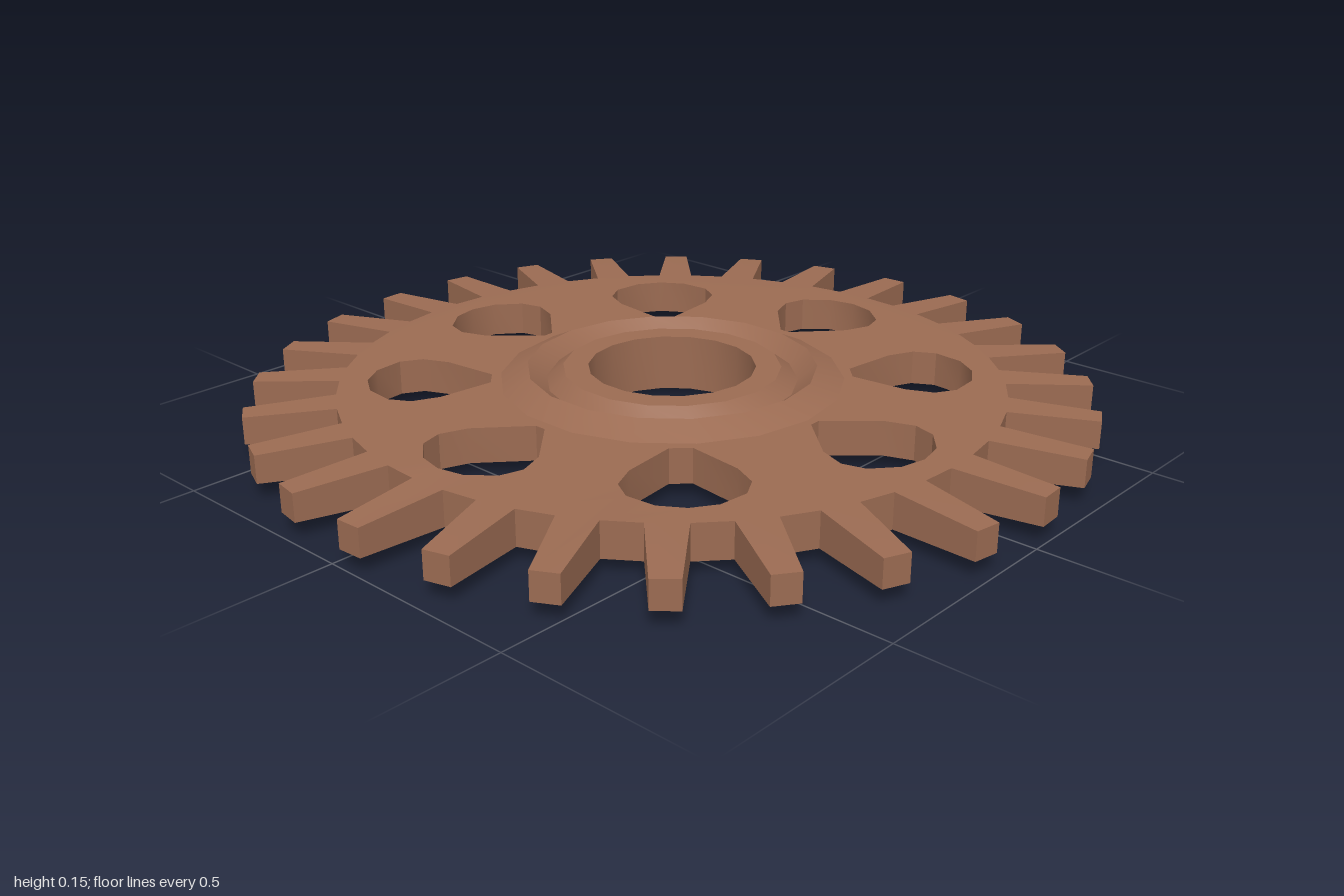
import * as THREE from 'three';
import { toCreasedNormals } from 'three/addons/utils/BufferGeometryUtils.js';

const TEETH = 28, HOLES = 8, SIDES = 18, HUB_EDGE = 0.41, MID = 0.073;

// Point at radial distance r and sideways offset t along direction a
const polar = (a, r, t = 0) => new THREE.Vector2(
  r * Math.cos(a) - t * Math.sin(a), r * Math.sin(a) + t * Math.cos(a));

// Half thickness of the plate, tapering towards the tooth tips
const halfThickness = (r) => r < 0.8 ? 0.042 : THREE.MathUtils.lerp(0.042, 0.033, (r - 0.8) / 0.2);

function plateGeometry() {
  // Toothed outline
  const outline = [];
  for (let i = 0; i < TEETH; i++) {
    const a = (i + 0.25) * Math.PI * 2 / TEETH;
    outline.push(polar(a, 0.787, -0.045), polar(a, 0.997, -0.031),
      polar(a, 0.997, 0.031), polar(a, 0.787, 0.045));
  }
  const shape = new THREE.Shape(outline);

  // Teardrop windows, narrow end towards the hub
  for (let i = 0; i < HOLES; i++) {
    const a = i * Math.PI * 2 / HOLES;
    const tip = i % 2 ? 0.026 : 0.014;
    const side = [[0.43, tip], [0.54, 0.113], [0.605, 0.137], [0.66, 0.122], [0.708, 0.065]];
    const drop = [
      ...side.map(([r, t]) => polar(a, r, t)),
      polar(a, 0.722),
      ...side.slice().reverse().map(([r, t]) => polar(a, r, -t)),
    ];
    shape.holes.push(new THREE.Path(drop));
  }

  // Opening that meets the hub flange
  const opening = [];
  for (let i = 0; i < SIDES; i++) opening.push(polar(Math.PI / 2 + i * Math.PI * 2 / SIDES, HUB_EDGE));
  shape.holes.push(new THREE.Path(opening));

  const geo = new THREE.ExtrudeGeometry(shape, { depth: 1, bevelEnabled: false });
  geo.rotateX(-Math.PI / 2);
  const p = geo.attributes.position;
  for (let i = 0; i < p.count; i++) {
    const h = halfThickness(Math.hypot(p.getX(i), p.getZ(i)));
    p.setY(i, MID + (p.getY(i) > 0.5 ? h : -h));
  }
  return toCreasedNormals(geo, 0.6);
}

function hubGeometry() {
  // Upper half: flange, ridge, groove, collar, bore; mirrored for the underside
  const upper = [[HUB_EDGE, 0.042], [0.345, 0.073], [0.3, 0.038], [0.26, 0.069], [0.2, 0.069]];
  const lower = upper.slice().reverse().map(([r, y]) => [r, -y]);
  const profile = [...upper, ...lower].map(([r, y]) => new THREE.Vector2(r, MID + y));
  return toCreasedNormals(new THREE.LatheGeometry(profile, SIDES), 0.5);
}

export function createModel() {
  const group = new THREE.Group();
  group.name = 'gear';
  const material = new THREE.MeshStandardMaterial({ color: 0x9b6b52 });
  material.name = 'brown';
  const add = (name, geometry) => {
    const mesh = new THREE.Mesh(geometry, material);
    mesh.name = name;
    group.add(mesh);
  };
  add('toothedPlate', plateGeometry());
  add('hub', hubGeometry());
  return group;
}
